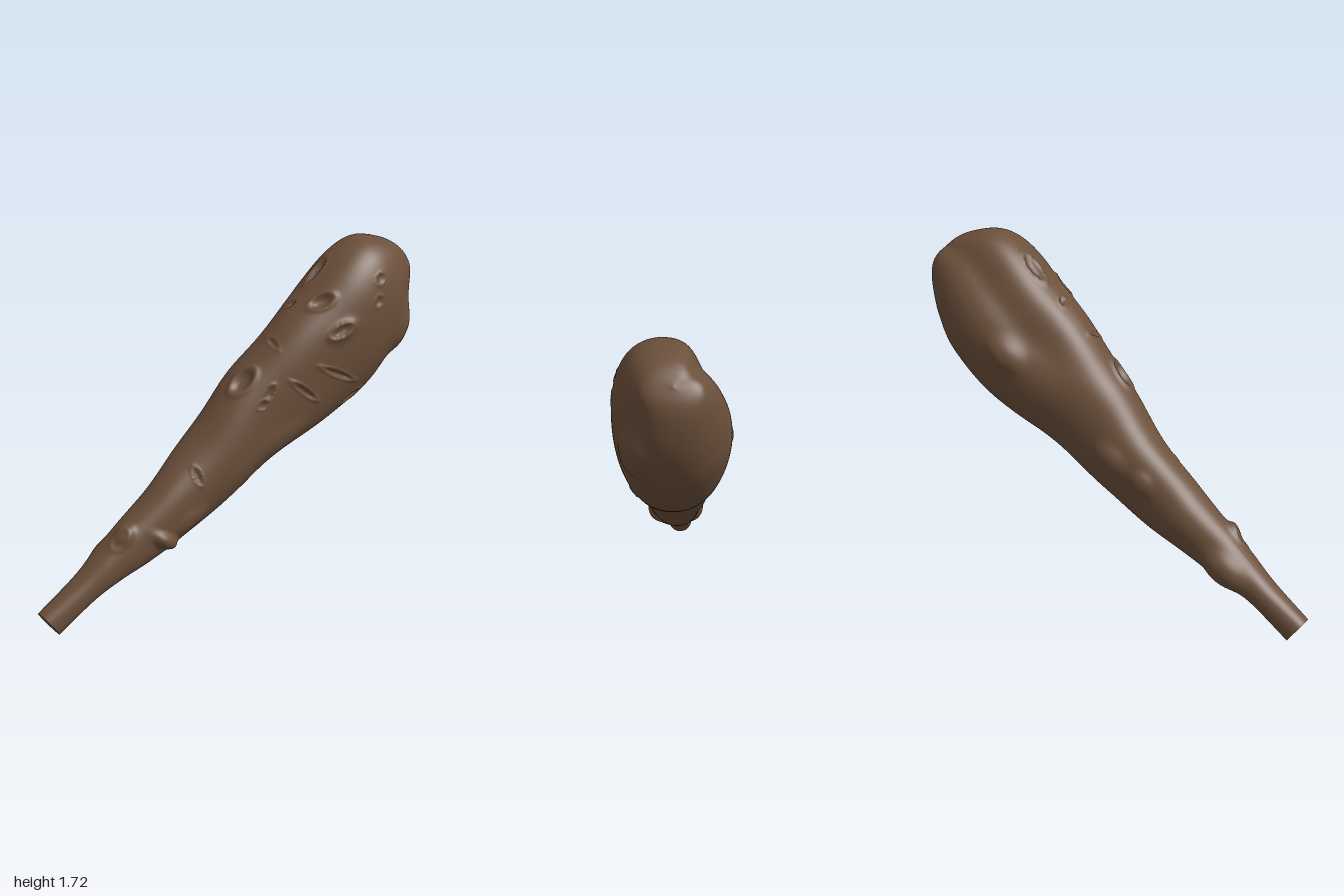
import * as THREE from 'three';

const ROWS = 330, COLS = 180;

// Frame of the club: D runs from grip to head, S points sideways, N points up
const D = new THREE.Vector3(0.268, 0.579, -0.77).normalize();
const S = new THREE.Vector3().crossVectors(D, new THREE.Vector3(0, 1, 0)).normalize();
const N = new THREE.Vector3().crossVectors(S, D);

// Cross-sections: distance along D, right edge, left edge, underside, top
const SECTIONS = [
  [-0.815, -0.142, -0.015, 0.579, 0.725],
  [-0.58, -0.146, 0.008, 0.58, 0.725],
  [-0.42, -0.155, 0.03, 0.555, 0.742],
  [-0.26, -0.168, 0.05, 0.515, 0.76],
  [0, -0.185, 0.075, 0.465, 0.782],
  [0.3, -0.215, 0.108, 0.438, 0.825],
  [0.6, -0.23, 0.14, 0.423, 0.895],
  [0.9, -0.265, 0.185, 0.362, 0.95],
  [1.15, -0.305, 0.22, 0.346, 0.987],
  [1.35, -0.305, 0.225, 0.378, 1.02],
  [1.5, -0.275, 0.21, 0.44, 1.015],
  [1.6, -0.238, 0.17, 0.505, 0.975],
  [1.68, -0.195, 0.12, 0.585, 0.89],
  [1.72, -0.145, 0.07, 0.655, 0.82],
  [1.735, -0.04, -0.04, 0.73, 0.73],
];

// Surface details: side seen from, position there (x or z, then y),
// half length along the club, half width, turn in degrees, height
const BULGES = [
  ['minusX', -0.55, 1.2, 0.09, 0.065, 0, 0.03],
  ['minusX', 0, 0.76, 0.08, 0.06, 0, 0.022],
  ['minusX', 0.16, 0.67, 0.06, 0.05, 0, 0.018],
  ['minusX', 0.58, 0.3, 0.11, 0.07, 0, 0.04],
  ['plusX', -0.81, 1.25, 0.12, 0.08, 30, 0.035],
  ['plusX', -0.85, 1.4, 0.11, 0.09, 0, -0.015],
  ['plusX', 0.45, 0.39, 0.035, 0.075, 20, 0.035],
  ['plusX', 0.33, 0.47, 0.09, 0.05, 0, 0.015],
  ['front', -0.22, 0.45, 0.05, 0.04, 0, 0.025],
  ['front', 0.36, 1.32, 0.08, 0.045, -10, 0.018],
  ['front', 0.18, 0.8, 0.13, 0.07, 0, 0.015],
];
const PITS = [
  ['front', 0.14, 1.58, 0.065, 0.024, 0, 0.016],
  ['front', 0.25, 1.46, 0.05, 0.028, -25, 0.018],
  ['front', 0.03, 1.11, 0.06, 0.036, -5, 0.02],
  ['front', 0.36, 1.33, 0.05, 0.022, -15, 0.018],
  ['front', 0.43, 1.55, 0.025, 0.015, 20, 0.01],
  ['front', 0.44, 1.44, 0.025, 0.015, 20, 0.01],
  ['front', 0.1, 1.43, 0.022, 0.013, -20, 0.01],
  ['front', 0.16, 1.06, 0.03, 0.014, 20, 0.012],
  ['front', 0.14, 1.0, 0.022, 0.014, 0, 0.01],
  ['front', 0.1, 1.28, 0.04, 0.011, 75, 0.009],
  ['front', -0.03, 0.69, 0.04, 0.014, 70, 0.009],
  ['front', -0.22, 0.45, 0.045, 0.03, 0, 0.008],
  ['plusX', -0.37, 1.1, 0.085, 0.013, -62, 0.015],
  ['plusX', -0.2, 1.04, 0.065, 0.013, -75, 0.015],
  ['plusX', -0.5, 0.95, 0.05, 0.018, -5, 0.015],
];

// Smooth lobe around one direction of the cross-section
const lobe = (q, degrees) => Math.max(0, Math.cos(q - degrees * Math.PI / 180)) ** 6;

function outlinePoints() {
  const sides = new THREE.CatmullRomCurve3(SECTIONS.map(r => new THREE.Vector3(r[0], r[1], r[2])), false, 'catmullrom');
  const heights = new THREE.CatmullRomCurve3(SECTIONS.map(r => new THREE.Vector3(r[0], r[3], r[4])), false, 'catmullrom');
  const soften = v => Math.sign(v) * Math.abs(v) ** 0.92;
  const points = [], outward = [];
  for (let i = 0; i <= ROWS; i++) {
    const k = heights.getUtoTmapping(i / ROWS);
    const a = sides.getPoint(k), b = heights.getPoint(k);
    // gentle unevenness that fades at both ends
    const fade = THREE.MathUtils.smoothstep(a.x, -0.5, 0.1) * (1 - THREE.MathUtils.smoothstep(a.x, 1.3, 1.65));
    // slanted flat on one upper side of the head, blunt ridge on the other
    const flat = 0.27 * THREE.MathUtils.smoothstep(a.x, 0.6, 1.15);
    const ridge = 0.07 * THREE.MathUtils.smoothstep(a.x, 0.1, 0.7);
    for (let j = 0; j < COLS; j++) {
      const q = j / COLS * Math.PI * 2, c = Math.cos(q), s = Math.sin(q);
      const size = 1 - flat * lobe(q, 140) + ridge * lobe(q, 45);
      const wave = fade * 0.003 * (Math.sin(3 * q + 5 * a.x) + Math.sin(2 * q - 13 * a.x));
      const dir = S.clone().multiplyScalar(c).addScaledVector(N, s);
      points.push(D.clone().multiplyScalar(a.x)
        .addScaledVector(S, (a.y + a.z) / 2 + (a.z - a.y) / 2 * soften(c) * size)
        .addScaledVector(N, (b.y + b.z) / 2 + (b.z - b.y) / 2 * soften(s) * size)
        .addScaledVector(dir, wave));
      outward.push(dir);
    }
  }
  return { points, outward };
}

// Raises or sinks the surface around one detail
function sculpt({ points, outward }, [side, across, y, length, width, turn, height], profile) {
  let best = Infinity, at = 0;
  points.forEach((p, i) => {
    const u = side === 'front' ? p.x : p.z;
    const depth = side === 'front' ? p.z : side === 'plusX' ? p.x : -p.x;
    const cost = (u - across) ** 2 + (p.y - y) ** 2 - 0.001 * depth;
    if (cost < best) { best = cost; at = i; }
  });
  const centre = points[at].clone(), normal = outward[at];
  const axis = D.clone().applyAxisAngle(normal, turn * Math.PI / 180);
  const cross = new THREE.Vector3().crossVectors(normal, axis);
  const d = new THREE.Vector3();
  points.forEach((p, i) => {
    if (outward[i].dot(normal) < 0.1) return;
    d.subVectors(p, centre);
    const q = Math.hypot(d.dot(axis) / length, d.dot(cross) / width);
    if (q < 3) p.addScaledVector(outward[i], height * profile(q));
  });
}

const bulge = q => Math.exp(-(q ** 3));
const pit = q => -1.1 * Math.exp(-(q ** 4)) + 0.45 * Math.exp(-(((q - 1.35) / 0.35) ** 2));

function meshFrom(name, points, index, material) {
  const geometry = new THREE.BufferGeometry().setFromPoints(points);
  geometry.setIndex(index);
  geometry.computeVertexNormals();
  const mesh = new THREE.Mesh(geometry, material);
  mesh.name = name;
  return mesh;
}

export function createModel() {
  const group = new THREE.Group();
  group.name = 'woodenClub';
  const wood = new THREE.MeshStandardMaterial({ color: 0x6b4f3a });
  wood.name = 'brown wood';

  // Shaft and head in one skin, with knots, pits and cuts
  const skin = outlinePoints();
  BULGES.forEach(f => sculpt(skin, f, bulge));
  PITS.forEach(f => sculpt(skin, f, pit));
  const index = [];
  for (let i = 0; i < ROWS; i++) for (let j = 0; j < COLS; j++) {
    const a = i * COLS + j, b = i * COLS + (j + 1) % COLS;
    index.push(a, a + COLS, b, b, a + COLS, b + COLS);
  }
  group.add(meshFrom('clubBody', skin.points, index, wood));

  // Flat cut end of the grip
  const rim = skin.points.slice(0, COLS);
  const middle = rim.reduce((m, p) => m.add(p), new THREE.Vector3()).divideScalar(COLS);
  const fan = [];
  for (let j = 0; j < COLS; j++) fan.push(COLS, j, (j + 1) % COLS);
  group.add(meshFrom('gripEnd', [...rim, middle], fan, wood));
  return group;
}
